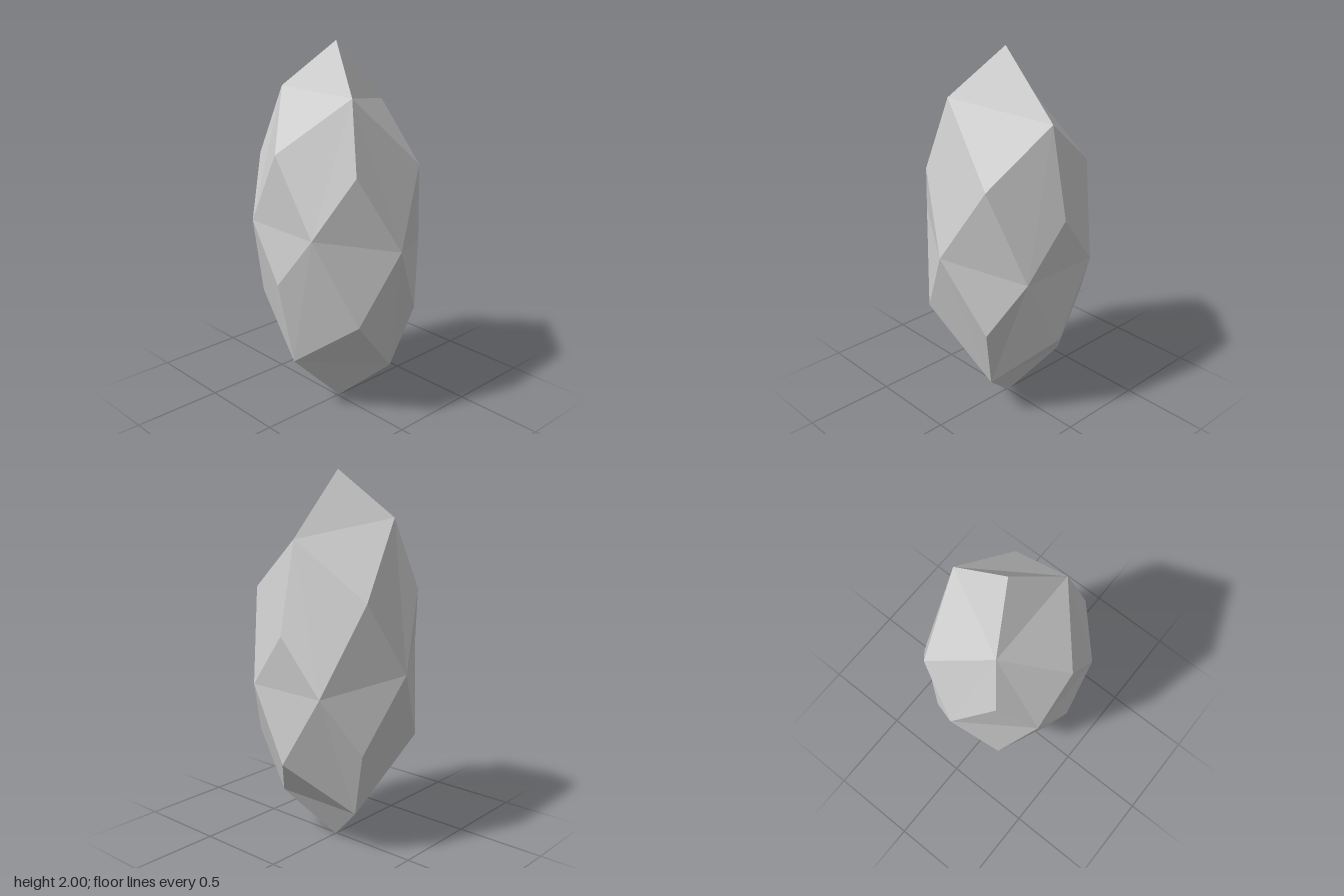
import * as THREE from 'three';

// Half of the gem's corners, relative to its centre. Each key gives the signs
// along three skewed axes; the other half follows by point reflection.
const HALF = {
  // axis corners, four edges each
  '1,0,0': [0.23, 0.39, 0.36],
  '0,1,0': [0.21, 0.38, -0.38],
  '0,0,1': [-0.41, 0.48, -0.01],
  // edge corners, four edges each
  '1,1,0': [0.32, 0.67, 0],
  '1,0,1': [-0.15, 0.76, 0.26],
  '0,1,1': [-0.15, 0.76, -0.26],
  '1,-1,0': [0, 0, 0.465],
  '0,1,-1': [0.39, -0.09, -0.23],
  '1,0,-1': [0.39, -0.09, 0.23],
  // octant corners, three edges each
  '1,1,1': [-0.01, 1, 0],
  '1,1,-1': [0.42, 0.2, 0],
  '1,-1,1': [-0.215, 0.4, 0.36],
  '-1,1,1': [-0.225, 0.4, -0.36],
};

function corner(signs) {
  const p = HALF[signs.join()];
  if (p) return [p[0], 1 + p[1], p[2]];
  const q = HALF[signs.map((s) => (s === 0 ? 0 : -s)).join()];
  return [-q[0], 1 - q[1], -q[2]];
}

export function createModel() {
  const positions = [];

  // Three kite facets in each of the eight octants
  for (const sx of [1, -1]) for (const sy of [1, -1]) for (const sz of [1, -1]) {
    const s = [sx, sy, sz];
    for (let i = 0; i < 3; i++) {
      const j = (i + 1) % 3, k = (i + 2) % 3;
      const pick = (...axes) => corner(s.map((v, n) => (axes.includes(n) ? v : 0)));
      const axis = pick(i), tip = pick(0, 1, 2);
      let e1 = pick(i, j), e2 = pick(i, k);
      if (sx * sy * sz < 0) [e1, e2] = [e2, e1];
      positions.push(...axis, ...e1, ...e2, ...e1, ...tip, ...e2);
    }
  }

  const geometry = new THREE.BufferGeometry();
  geometry.setAttribute('position', new THREE.Float32BufferAttribute(positions, 3));
  geometry.computeVertexNormals();

  const gem = new THREE.Mesh(
    geometry,
    new THREE.MeshStandardMaterial({ color: 0xcccccc, flatShading: true })
  );
  gem.name = 'facetedGem';

  const model = new THREE.Group();
  model.name = 'gem';
  model.add(gem);
  return model;
}
